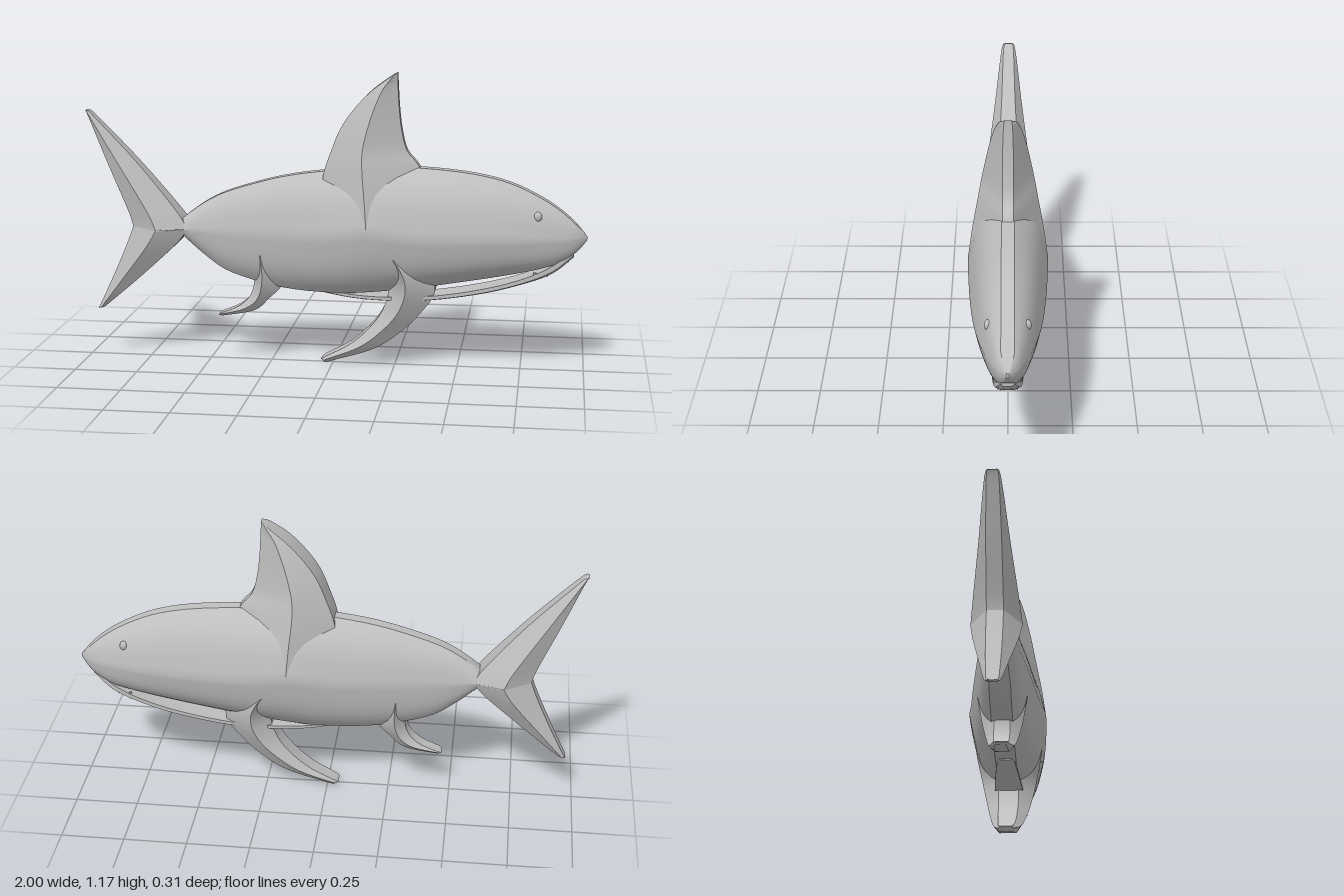
import * as THREE from 'three';
import { toCreasedNormals } from 'three/addons/utils/BufferGeometryUtils.js';

// Catmull-Rom resampling of every column of a station table
function smooth(rows, steps) {
  const out = [];
  const at = (i) => rows[Math.max(0, Math.min(rows.length - 1, i))];
  for (let i = 0; i < rows.length - 1; i++) {
    for (let s = 0; s < steps; s++) {
      const t = s / steps;
      out.push(rows[i].map((_, c) => {
        const [a, b, d, e] = [at(i - 1)[c], at(i)[c], at(i + 1)[c], at(i + 2)[c]];
        return b + 0.5 * t * (d - a + t * (2 * a - 5 * b + 4 * d - e + t * (3 * (b - d) + e - a)));
      }));
    }
  }
  out.push(rows[rows.length - 1]);
  return out;
}

// Closed skin over equal-sized rings of [x, y, z], capped at both ends
function loft(rings, crease) {
  const n = rings[0].length;
  const pos = rings.flat(2);
  const index = [];
  for (let r = 0; r < rings.length - 1; r++) {
    for (let i = 0; i < n; i++) {
      const a = r * n + i, b = r * n + (i + 1) % n;
      index.push(a, b, b + n, a, b + n, a + n);
    }
  }
  for (const r of [0, rings.length - 1]) {
    const c = pos.length / 3;
    for (let k = 0; k < 3; k++) pos.push(rings[r].reduce((sum, p) => sum + p[k], 0) / n);
    for (let i = 0; i < n; i++) {
      const a = r * n + i, b = r * n + (i + 1) % n;
      if (r === 0) index.push(c, b, a); else index.push(c, a, b);
    }
  }
  // turn the skin outward if its volume comes out negative
  const v = (i) => new THREE.Vector3().fromArray(pos, i * 3);
  let volume = 0;
  for (let i = 0; i < index.length; i += 3) {
    volume += v(index[i]).dot(v(index[i + 1]).cross(v(index[i + 2])));
  }
  if (volume < 0) index.reverse();
  const g = new THREE.BufferGeometry();
  g.setAttribute('position', new THREE.Float32BufferAttribute(pos, 3));
  g.setIndex(index);
  return toCreasedNormals(g, crease);
}

// Fin stations: rear x, y, half thickness; ridge x, y, half; front x, y, half
function fin(rows) {
  return loft(smooth(rows, 5).map(([rx, ry, rt, mx, my, mt, fx, fy, ft]) => [
    [rx, ry, rt], [mx, my, mt], [fx, fy, ft],
    [fx, fy, -ft], [mx, my, -mt], [rx, ry, -rt],
  ]), 0.3);
}

export function createModel() {
  const model = new THREE.Group();
  const grey = new THREE.MeshStandardMaterial({ color: 0xbfbfbf });
  grey.name = 'grey';
  const add = (name, geometry) => {
    const mesh = new THREE.Mesh(geometry, grey);
    mesh.name = name;
    model.add(mesh);
    return mesh;
  };

  // Body: x, top, bottom, half width at the side ridge
  const stations = [
    [-0.62, 0.565, 0.525, 0.055], [-0.58, 0.6, 0.49, 0.062], [-0.5, 0.655, 0.425, 0.075],
    [-0.4, 0.7, 0.365, 0.09], [-0.2, 0.757, 0.312, 0.116], [0, 0.787, 0.296, 0.139],
    [0.15, 0.802, 0.303, 0.155], [0.35, 0.803, 0.328, 0.149], [0.55, 0.785, 0.362, 0.136],
    [0.7, 0.75, 0.39, 0.118], [0.82, 0.695, 0.418, 0.092], [0.9, 0.643, 0.446, 0.068],
    [0.96, 0.59, 0.485, 0.042], [1, 0.545, 0.53, 0.006],
  ];
  const flare = (t) => 1 - 0.4 * t - 0.6 * t ** 4;
  add('body', loft(smooth(stations, 4).map(([x, top, bottom, w]) => {
    const mid = 0.538 + 0.025 * Math.exp(-(((x - 0.15) / 0.12) ** 2));
    const side = [];
    for (let i = -8; i <= 8; i++) {
      const t = Math.abs(i) / 8;
      const strip = Math.min(i > 0 ? 0.024 : 0.04, w * 0.5);
      const y = mid + t * ((i > 0 ? top : bottom) - mid);
      side.push([x, y, strip + (w - strip) * flare(t)]);
    }
    return [...side, ...side.map(([px, y, z]) => [px, y, -z]).reverse()];
  }), 0.45));

  // Tall back fin, thickest along its upright ridge
  add('dorsalFin', fin([
    [-0.05, 0.56, 0.055, 0.15, 0.56, 0.155, 0.42, 0.56, 0.02],
    [-0.04, 0.69, 0.055, 0.14, 0.68, 0.138, 0.38, 0.7, 0.02],
    [-0.03, 0.78, 0.055, 0.128, 0.8, 0.116, 0.345, 0.805, 0.02],
    [0.0, 0.87, 0.055, 0.128, 0.88, 0.102, 0.295, 0.87, 0.02],
    [0.035, 0.955, 0.055, 0.145, 0.96, 0.087, 0.273, 0.95, 0.02],
    [0.085, 1.03, 0.052, 0.17, 1.04, 0.071, 0.262, 1.04, 0.02],
    [0.15, 1.1, 0.048, 0.2, 1.11, 0.054, 0.257, 1.12, 0.018],
    [0.22, 1.153, 0.036, 0.235, 1.158, 0.036, 0.255, 1.165, 0.015],
    [0.245, 1.17, 0.018, 0.248, 1.172, 0.016, 0.255, 1.175, 0.012],
  ]));

  // Large swept fin under the chest
  add('chestFin', fin([
    [0.06, 0.54, 0.04, 0.17, 0.55, 0.148, 0.38, 0.53, 0.04],
    [0.17, 0.43, 0.04, 0.27, 0.43, 0.13, 0.4, 0.42, 0.04],
    [0.225, 0.33, 0.04, 0.3, 0.335, 0.11, 0.41, 0.31, 0.04],
    [0.205, 0.235, 0.04, 0.27, 0.235, 0.09, 0.36, 0.23, 0.04],
    [0.15, 0.155, 0.038, 0.2, 0.15, 0.073, 0.28, 0.147, 0.038],
    [0.07, 0.083, 0.034, 0.11, 0.078, 0.056, 0.17, 0.07, 0.034],
    [-0.035, 0.025, 0.028, -0.02, 0.02, 0.036, 0.0, 0.012, 0.026],
    [-0.045, 0.015, 0.014, -0.038, 0.008, 0.018, -0.03, 0, 0.014],
  ]));

  // Small swept fin near the tail
  add('pelvicFin', fin([
    [-0.34, 0.45, 0.03, -0.28, 0.45, 0.095, -0.2, 0.43, 0.03],
    [-0.315, 0.35, 0.03, -0.275, 0.35, 0.078, -0.2, 0.325, 0.03],
    [-0.33, 0.275, 0.03, -0.295, 0.27, 0.06, -0.255, 0.262, 0.03],
    [-0.38, 0.225, 0.028, -0.35, 0.22, 0.046, -0.315, 0.21, 0.028],
    [-0.455, 0.192, 0.024, -0.45, 0.19, 0.028, -0.435, 0.184, 0.022],
    [-0.465, 0.185, 0.014, -0.46, 0.182, 0.014, -0.45, 0.18, 0.012],
  ]));

  // Tail lobes share a thick centre ridge
  add('upperTailLobe', fin([
    [-0.805, 0.53, 0.03, -0.7, 0.535, 0.094, -0.58, 0.54, 0.055],
    [-0.825, 0.6, 0.03, -0.735, 0.61, 0.085, -0.625, 0.61, 0.045],
    [-0.905, 0.79, 0.028, -0.855, 0.795, 0.057, -0.785, 0.8, 0.03],
    [-0.985, 0.985, 0.022, -0.978, 0.985, 0.03, -0.96, 0.982, 0.022],
    [-1, 1.004, 0.014, -0.995, 1.005, 0.014, -0.985, 1.003, 0.014],
  ]));
  add('lowerTailLobe', fin([
    [-0.805, 0.55, 0.03, -0.7, 0.54, 0.094, -0.58, 0.54, 0.055],
    [-0.835, 0.47, 0.03, -0.745, 0.465, 0.083, -0.63, 0.475, 0.045],
    [-0.89, 0.345, 0.028, -0.845, 0.335, 0.056, -0.77, 0.345, 0.03],
    [-0.955, 0.21, 0.022, -0.942, 0.21, 0.03, -0.915, 0.22, 0.022],
    [-0.962, 0.2, 0.014, -0.952, 0.198, 0.014, -0.94, 0.2, 0.014],
  ]));

  // Thin lower jaw band hanging below the belly: x, y, half width, half thickness
  add('lowerJaw', loft(smooth([
    [-0.04, 0.3, 0.03, 0.008], [0.08, 0.283, 0.045, 0.009], [0.22, 0.278, 0.055, 0.01],
    [0.4, 0.288, 0.06, 0.011], [0.6, 0.322, 0.06, 0.012], [0.76, 0.367, 0.055, 0.013],
    [0.87, 0.415, 0.045, 0.017], [0.95, 0.478, 0.025, 0.015],
  ], 5).map(([x, y, w, h]) => [
    [x, y + h, w], [x, y - 0.3 * h, w], [x, y - h, w * 0.55],
    [x, y - h, -w * 0.55], [x, y - 0.3 * h, -w], [x, y + h, -w],
  ]), 0.7));

  // Eyes and small teeth, mirrored
  for (const [side, s] of [['left', 1], ['right', -1]]) {
    const eye = add(side + 'Eye', new THREE.SphereGeometry(0.018, 16, 10));
    eye.position.set(0.808, 0.63, s * 0.07);
    eye.scale.set(0.9, 1.1, 0.8);
    for (const [x, y, z] of [[0.8, 0.385, 0.045], [0.85, 0.4, 0.035], [0.89, 0.425, 0.025], [0.93, 0.455, 0.014]]) {
      const tooth = add(side + 'Tooth', new THREE.ConeGeometry(0.008, 0.035, 6));
      tooth.position.set(x, y, s * z);
      tooth.rotation.x = Math.PI;
    }
  }
  return model;
}
